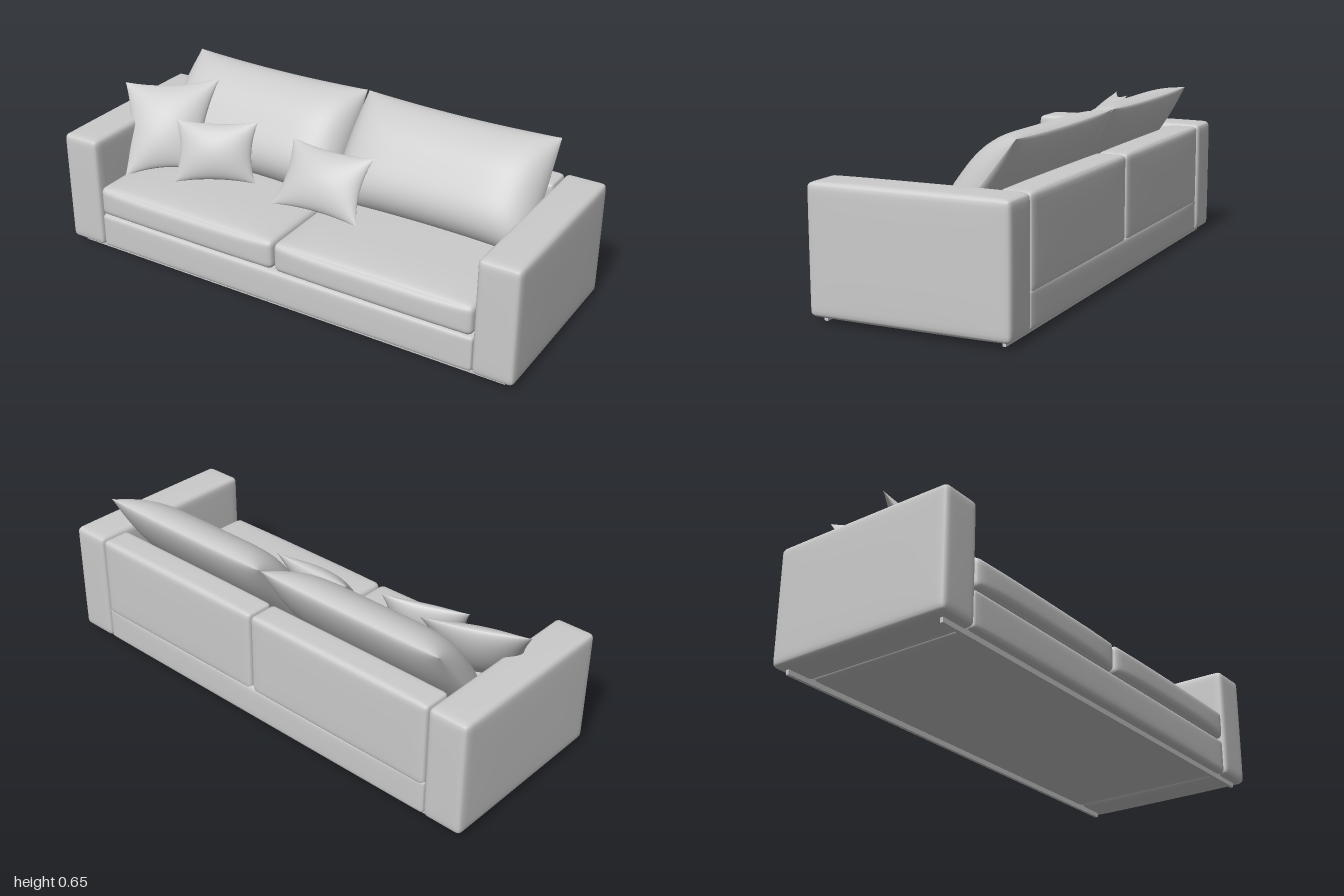
import * as THREE from 'three';
import { mergeVertices } from 'three/addons/utils/BufferGeometryUtils.js';

const material = new THREE.MeshStandardMaterial({ color: 0xcccccc, roughness: 0.9 });

// Upholstered block: rounded edges, faces puffed outward by an amount per axis
function softBox(name, min, max, radius, puff = [0, 0, 0]) {
  const n = 20;
  const lo = new THREE.Vector3(...min), hi = new THREE.Vector3(...max);
  const half = hi.clone().sub(lo).multiplyScalar(0.5);
  const inner = half.clone().subScalar(radius);
  let geo = new THREE.BoxGeometry(2, 2, 2, n, n, n);
  geo.deleteAttribute('uv');
  geo.deleteAttribute('normal');
  const pos = geo.attributes.position;
  const p = new THREE.Vector3(), core = new THREE.Vector3();
  for (let i = 0; i < pos.count; i++) {
    p.fromBufferAttribute(pos, i);
    // rows crowd towards the edges, where the rounding needs them
    const t = p.toArray().map((v) => Math.sin((v * Math.PI) / 2));
    p.set(...t).multiply(half);
    core.copy(p).clamp(inner.clone().negate(), inner);
    p.sub(core).setLength(radius).add(core);
    const f = t.map((v) => 1 - v ** 4);
    p.x += puff[0] * t[0] * f[1] * f[2];
    p.y += puff[1] * t[1] * f[0] * f[2];
    p.z += puff[2] * t[2] * f[0] * f[1];
    pos.setXYZ(i, p.x, p.y, p.z);
  }
  geo = mergeVertices(geo, 1e-5);
  geo.computeVertexNormals();
  const mesh = new THREE.Mesh(geo, material);
  mesh.name = name;
  mesh.position.copy(lo).add(hi).multiplyScalar(0.5);
  return mesh;
}

// Stuffed pillow spanned between four seam corners: top left, top right, bottom right, bottom left
function pillow(name, corners, { front, back, pinchX, pinchY, powerX = 2, powerLow = 2 }) {
  const [tl, tr, br, bl] = corners.map((c) => new THREE.Vector3(...c));
  const normal = tr.clone().add(br).sub(tl).sub(bl)
    .cross(tl.clone().add(tr).sub(bl).sub(br)).normalize();
  const group = new THREE.Group();
  group.name = name;
  for (const side of [1, -1]) {
    const geo = new THREE.PlaneGeometry(2, 2, 36, 36);
    const pos = geo.attributes.position;
    const top = new THREE.Vector3(), p = new THREE.Vector3();
    for (let i = 0; i < pos.count; i++) {
      const u = Math.sin(pos.getX(i) * side * Math.PI / 2);
      const v = Math.sin(pos.getY(i) * Math.PI / 2);
      // the seam is drawn in between the corners
      const a = (u * (1 - pinchX * (1 - v * v)) + 1) / 2;
      const b = (v * (1 - pinchY * (1 - u * u)) + 1) / 2;
      top.lerpVectors(tl, tr, a);
      p.lerpVectors(bl, br, a).lerp(top, b);
      const fu = Math.max(0, 1 - Math.abs(u) ** powerX);
      const fv = Math.max(0, 1 - Math.abs(v) ** (v < 0 ? powerLow : 2));
      const bulge = (fu * fv) ** 0.6 * (side > 0 ? front : -back);
      p.addScaledVector(normal, bulge);
      pos.setXYZ(i, p.x, p.y, p.z);
    }
    geo.computeVertexNormals();
    const mesh = new THREE.Mesh(geo, material);
    mesh.name = side > 0 ? 'pillowFront' : 'pillowBack';
    group.add(mesh);
  }
  return group;
}

export function createModel() {
  const sofa = new THREE.Group();
  sofa.name = 'sofa';

  // Base frame
  sofa.add(softBox('base', [-0.834, 0.02, -0.382], [0.834, 0.165, 0.368], 0.016, [0, 0, 0.004]));

  // Parts repeated for the two halves
  for (const s of [-1, 1]) {
    const label = s > 0 ? 'left' : 'right';
    const span = (a, b) => (s > 0 ? [a, b] : [-b, -a]);

    const [a0, a1] = span(0.834, 0.997);
    sofa.add(softBox(label + 'Arm', [a0, 0.02, -0.385], [a1, 0.485, 0.373], 0.02, [0.003, 0.004, 0.002]));

    const [p0, p1] = span(0.003, 0.83);
    sofa.add(softBox(label + 'BackPanel', [p0, 0.145, -0.384], [p1, 0.482, -0.26], 0.018, [0, 0.004, 0.003]));
    sofa.add(softBox(label + 'SeatCushion', [p0, 0.167, -0.27], [p1, 0.29, 0.373], 0.025, [0, 0.014, 0.012]));

    // Leaning back cushion
    const [t0, t1] = span(0.004, 0.825);
    const [b0, b1] = span(0.0, 0.832);
    sofa.add(pillow(label + 'BackCushion',
      [[t0, 0.65, -0.325], [t1, 0.65, -0.325], [b1, 0.285, -0.04], [b0, 0.285, -0.04]],
      { front: 0.125, back: 0.052, pinchX: -0.008, pinchY: 0.05, powerX: 6, powerLow: 4 }));
  }

  // Scatter pillows
  const scatter = { front: 0.06, back: 0.06, pinchX: 0.13, pinchY: 0.11 };
  sofa.add(pillow('cornerPillow',
    [[-0.945, 0.6, 0.04], [-0.6, 0.628, -0.145], [-0.565, 0.31, 0.06], [-0.815, 0.285, 0.23]], scatter));
  sofa.add(pillow('sidePillow',
    [[-0.635, 0.535, 0.105], [-0.325, 0.548, -0.02], [-0.29, 0.32, 0.06], [-0.585, 0.31, 0.205]],
    { ...scatter, front: 0.05, back: 0.05 }));
  sofa.add(pillow('middlePillow',
    [[-0.165, 0.518, -0.03], [0.2, 0.522, -0.03], [0.212, 0.3, 0.115], [-0.162, 0.303, 0.135]],
    { ...scatter, front: 0.055, back: 0.055 }));

  // Floor rails
  for (const [name, z] of [['frontRail', 0.333], ['backRail', -0.345]]) {
    const rail = new THREE.Mesh(new THREE.BoxGeometry(1.91, 0.024, 0.013), material);
    rail.name = name;
    rail.position.set(0, 0.012, z);
    sofa.add(rail);
  }
  return sofa;
}
